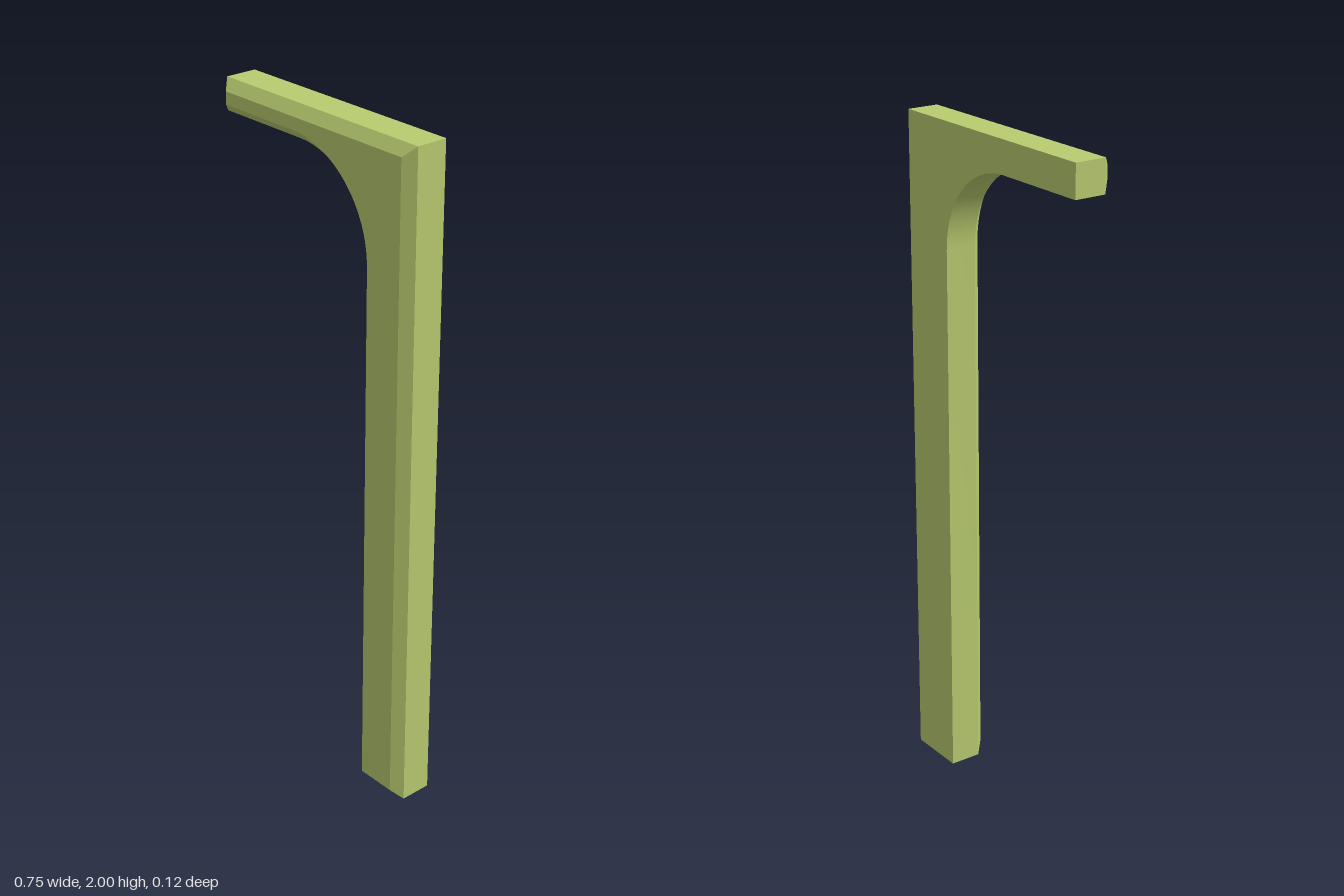
import * as THREE from 'three';
import { toCreasedNormals } from 'three/addons/utils/BufferGeometryUtils.js';

// Outline of the bracket, counter-clockwise, drawn in by the given inset
function outline(inset) {
  const right = 0.377 - inset, top = 2 - inset, left = -0.377 + inset;
  const points = [[right, inset], [right, top], [left, top], [left, 1.905 + inset]];
  // concave fillet between arm and post
  const steps = 16, radius = 0.267 + inset;
  for (let i = 0; i <= steps; i++) {
    const a = (Math.PI / 2) * (1 - i / steps);
    points.push([-0.07 + radius * Math.cos(a), 1.638 + radius * Math.sin(a)]);
  }
  points.push([0.197 + inset, inset]);
  return points.map(([x, y]) => new THREE.Vector2(x, y));
}

// Skin a stack of equal-length outlines and cap both ends
function loft(rings) {
  const positions = [];
  const add = (...corners) => corners.forEach(([p, z]) => positions.push(p.x, p.y, z));
  for (let r = 0; r < rings.length - 1; r++) {
    const { points: p, z } = rings[r], { points: q, z: w } = rings[r + 1];
    for (let i = 0; i < p.length; i++) {
      const j = (i + 1) % p.length;
      add([p[i], z], [p[j], z], [q[j], w]);
      add([p[i], z], [q[j], w], [q[i], w]);
    }
  }
  const back = rings[0], front = rings[rings.length - 1];
  for (const [a, b, c] of THREE.ShapeUtils.triangulateShape(back.points, [])) {
    add([back.points[c], back.z], [back.points[b], back.z], [back.points[a], back.z]);
    add([front.points[a], front.z], [front.points[b], front.z], [front.points[c], front.z]);
  }
  const geometry = new THREE.BufferGeometry();
  geometry.setAttribute('position', new THREE.Float32BufferAttribute(positions, 3));
  return toCreasedNormals(geometry, Math.PI / 6);
}

export function createModel() {
  const green = new THREE.MeshStandardMaterial({ color: 0xb9cc70 });
  green.name = 'olive green';

  // Post, arm and fillet in one piece, chamfered on the front only
  const bracket = new THREE.Mesh(loft([
    { points: outline(0), z: -0.062 },
    { points: outline(0), z: 0.033 },
    { points: outline(0.029), z: 0.062 },
  ]), green);
  bracket.name = 'bracketPost';

  const group = new THREE.Group();
  group.name = 'bracket';
  group.add(bracket);
  return group;
}
